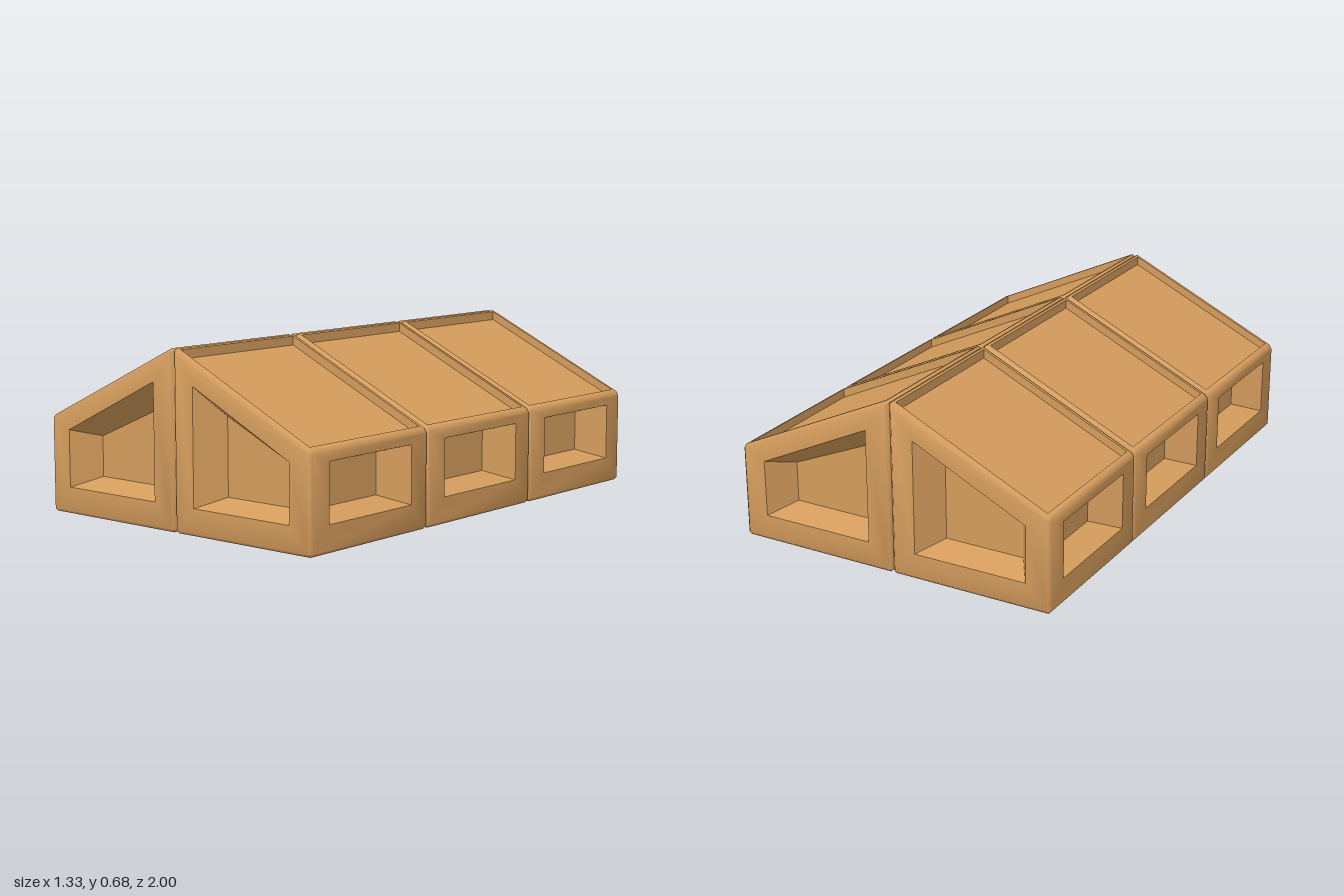
import * as THREE from 'three';
import { toCreasedNormals } from 'three/addons/utils/BufferGeometryUtils.js';

const W = 0.665, D = 0.333, EAVE = 0.375, RIDGE = 0.69; // one bay: width, half depth, heights
const BEVEL = 0.012, PIT = 0.11, ROOF_PIT = 0.035;
const v = (x, y, z) => new THREE.Vector3(x, y, z);
const roofY = x => RIDGE + (EAVE - RIDGE) * x / W;

// Chamfered wedge block with recessed panels in its outer faces
function bayGeometry(hasFront, hasBack) {
  const positions = [];
  const poly = (...p) => {
    for (let i = 1; i < p.length - 1; i++) {
      for (const q of [p[0], p[i], p[i + 1]]) positions.push(q.x, q.y, q.z);
    }
  };
  // quads joining two loops of the same length
  const ring = (a, b) => a.forEach((p, i) => {
    const j = (i + 1) % a.length;
    poly(p, a[j], b[j], b[i]);
  });

  const profile = [[0, 0], [W, 0], [W, EAVE], [0, RIDGE]];
  const corners = [D, -D].flatMap(z => profile.map(([x, y]) => v(x, y, z)));

  // Window in a gable end, and its smaller floor
  const outer = [[0.10, 0.105], [0.565, 0.105], [0.565, 0.33], [0.10, 0.555]];
  const inner = [[0.17, 0.14], [0.495, 0.14], [0.495, 0.30], [0.17, 0.44]];
  const gable = (s, order) => [
    order.map(i => v(...outer[i], s * D)),
    order.map(i => v(...inner[i], s * (D - PIT)))];
  // Window in the side wall
  const side = (x, z, y0, y1) => [v(x, y0, z), v(x, y0, -z), v(x, y1, -z), v(x, y1, z)];
  // Sunken roof panel
  const roof = drop => [[0.64, 0.308], [0.64, -0.308], [0.02, -0.308], [0.02, 0.308]]
    .map(([x, z]) => v(x, roofY(x) - drop, z));

  const faces = [
    { ids: [0, 1, 2, 3], pit: hasFront && gable(1, [0, 1, 2, 3]) },
    { ids: [5, 4, 7, 6], pit: hasBack && gable(-1, [1, 0, 3, 2]) },
    { ids: [1, 5, 6, 2], pit: [side(W, 0.232, 0.105, 0.33), side(W - PIT, 0.16, 0.14, 0.30)] },
    { ids: [2, 6, 7, 3], pit: [roof(0), roof(ROOF_PIT)] },
    { ids: [4, 5, 1, 0] },
    { ids: [0, 3, 7, 4] },
  ];

  // Each face is inset by the bevel, then filled or recessed
  for (const f of faces) {
    f.at = {};
    const loop = f.ids.map((id, i) => {
      const p = corners[id];
      const a = corners[f.ids[(i + 1) % 4]].clone().sub(p).normalize();
      const b = corners[f.ids[(i + 3) % 4]].clone().sub(p).normalize();
      const sin = a.clone().cross(b).length();
      return (f.at[id] = p.clone().addScaledVector(a.add(b), BEVEL / sin));
    });
    if (f.pit) {
      ring(loop, f.pit[0]);
      ring(...f.pit);
      poly(...f.pit[1]);
    } else poly(...loop);
  }

  // Bevel strips along the edges
  for (const f of faces) {
    f.ids.forEach((a, i) => {
      const b = f.ids[(i + 1) % 4];
      if (a > b) return;
      const g = faces.find(o => o !== f && o.at[a] && o.at[b]);
      poly(f.at[b], f.at[a], g.at[a], g.at[b]);
    });
  }

  // Bevel triangles at the corners, turned outwards
  const middle = v(W / 2, 0.25, 0);
  corners.forEach((c, id) => {
    const [p, q, r] = faces.filter(f => f.at[id]).map(f => f.at[id]);
    const n = q.clone().sub(p).cross(r.clone().sub(p));
    if (n.dot(c.clone().sub(middle)) > 0) poly(p, q, r);
    else poly(p, r, q);
  });

  const geometry = new THREE.BufferGeometry();
  geometry.setAttribute('position', new THREE.Float32BufferAttribute(positions, 3));
  return toCreasedNormals(geometry, 0.9);
}

export function createModel() {
  const model = new THREE.Group();
  model.name = 'gabledBuilding';
  const material = new THREE.MeshStandardMaterial({ color: 0xd49c5c });

  // Three bays along each side; the right row is the left row turned half round
  for (const name of ['left', 'right']) {
    const row = new THREE.Group();
    row.name = name + 'Row';
    for (let i = -1; i <= 1; i++) {
      const bay = new THREE.Mesh(bayGeometry(i === 1, i === -1), material);
      bay.name = name + 'Bay';
      bay.position.set(0.001, 0, i * 0.667);
      row.add(bay);
    }
    if (name === 'right') row.rotation.y = Math.PI;
    model.add(row);
  }
  return model;
}
